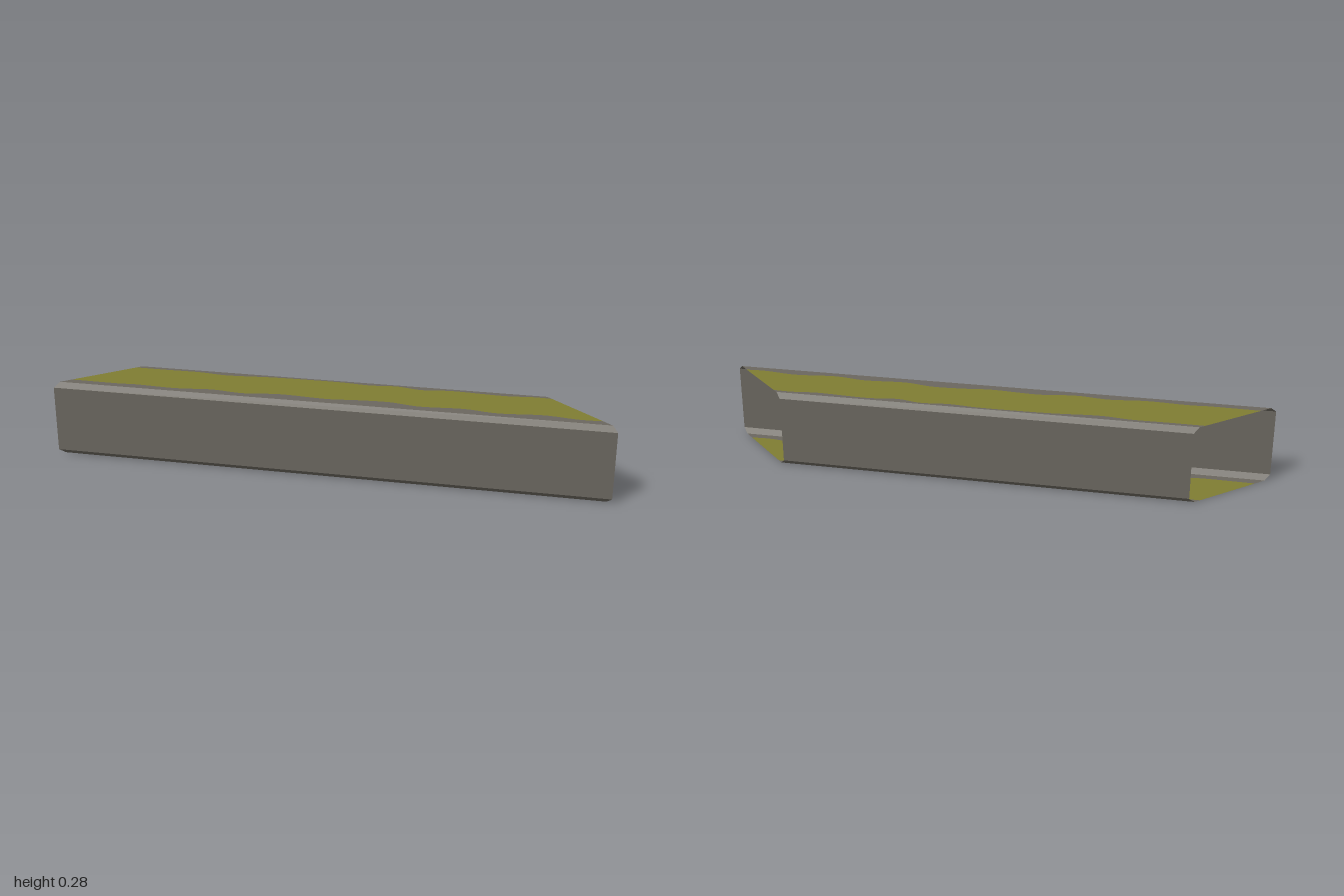
import * as THREE from 'three';

const HALF = 0.133;    // half depth of the tube
const HEIGHT = 0.277;
const BEVEL = 0.018;
const FLAT = HALF - BEVEL;
const endX = (z) => 1 - HALF + z;   // 45 degree mitre at both ends

// Wavy paint borders as [x, z] waypoints
const frontBorder = [
  [-0.78, 0.085], [-0.7, 0.08], [-0.55, 0.087], [-0.42, 0.072], [-0.3, 0.085], [-0.17, 0.066],
  [0, 0.077], [0.1, 0.066], [0.22, 0.06], [0.33, 0.08], [0.48, 0.069], [0.6, 0.086], [0.75, 0.07], [0.87, 0.085],
];
const backBorder = [
  [-0.65, -0.097], [-0.52, -0.098], [-0.41, -0.086], [-0.25, -0.1], [-0.1, -0.104], [0.02, -0.103],
  [0.12, -0.094], [0.22, -0.104], [0.31, -0.086], [0.42, -0.1], [0.6, -0.09], [0.7, -0.1],
];

function wavyLine(points, zEnd) {
  const all = [[-endX(zEnd), zEnd], ...points, [endX(zEnd), zEnd]];
  return new THREE.SplineCurve(all.map(([x, z]) => new THREE.Vector2(x, z))).getPoints(80);
}

const straightLine = (z) => [new THREE.Vector2(-endX(z), z), new THREE.Vector2(endX(z), z)];

// Flat horizontal strip between two lines that run from -x to +x
function strip(lineA, lineB, y, material, name) {
  const shape = new THREE.Shape([...lineA, ...[...lineB].reverse()]);
  const mesh = new THREE.Mesh(new THREE.ShapeGeometry(shape).rotateX(Math.PI / 2), material);
  mesh.position.y = y;
  mesh.name = name;
  return mesh;
}

// Long mitred face between two corners of the cross-section
function sideFace([z0, y0], [z1, y1], material, name) {
  const a = endX(z0), b = endX(z1);
  const geometry = new THREE.BufferGeometry();
  geometry.setAttribute('position', new THREE.Float32BufferAttribute(
    [-a, y0, z0, a, y0, z0, b, y1, z1, -b, y1, z1], 3));
  geometry.setIndex([0, 1, 2, 0, 2, 3]);
  geometry.computeVertexNormals();
  const mesh = new THREE.Mesh(geometry, material);
  mesh.name = name;
  return mesh;
}

export function createModel() {
  const metal = new THREE.MeshStandardMaterial({ color: 0x6b675f, side: THREE.DoubleSide });
  metal.name = 'grey metal';
  const paint = new THREE.MeshStandardMaterial({ color: 0x7f7d32, side: THREE.DoubleSide });
  paint.name = 'worn yellow paint';

  const group = new THREE.Group();
  group.name = 'mitredTube';

  // Walls and bevels, front then back (the back runs downwards to face outwards)
  const profile = [[FLAT, 0], [HALF, BEVEL], [HALF, HEIGHT - BEVEL], [FLAT, HEIGHT]];
  const names = ['LowerBevel', 'Wall', 'UpperBevel'];
  names.forEach((name, i) => {
    const p = profile[i], q = profile[i + 1];
    group.add(sideFace(p, q, metal, 'front' + name));
    group.add(sideFace([-q[0], q[1]], [-p[0], p[1]], metal, 'back' + name));
  });

  // Top and bottom panels: paint between two bare metal borders
  const front = wavyLine(frontBorder, 0.082);
  const back = wavyLine(backBorder, -0.098);
  for (const [name, y] of [['top', HEIGHT], ['bottom', 0]]) {
    group.add(strip(straightLine(-FLAT), back, y, metal, name + 'BackBorder'));
    group.add(strip(back, front, y, paint, name + 'Paint'));
    group.add(strip(front, straightLine(FLAT), y, metal, name + 'FrontBorder'));
  }
  return group;
}
